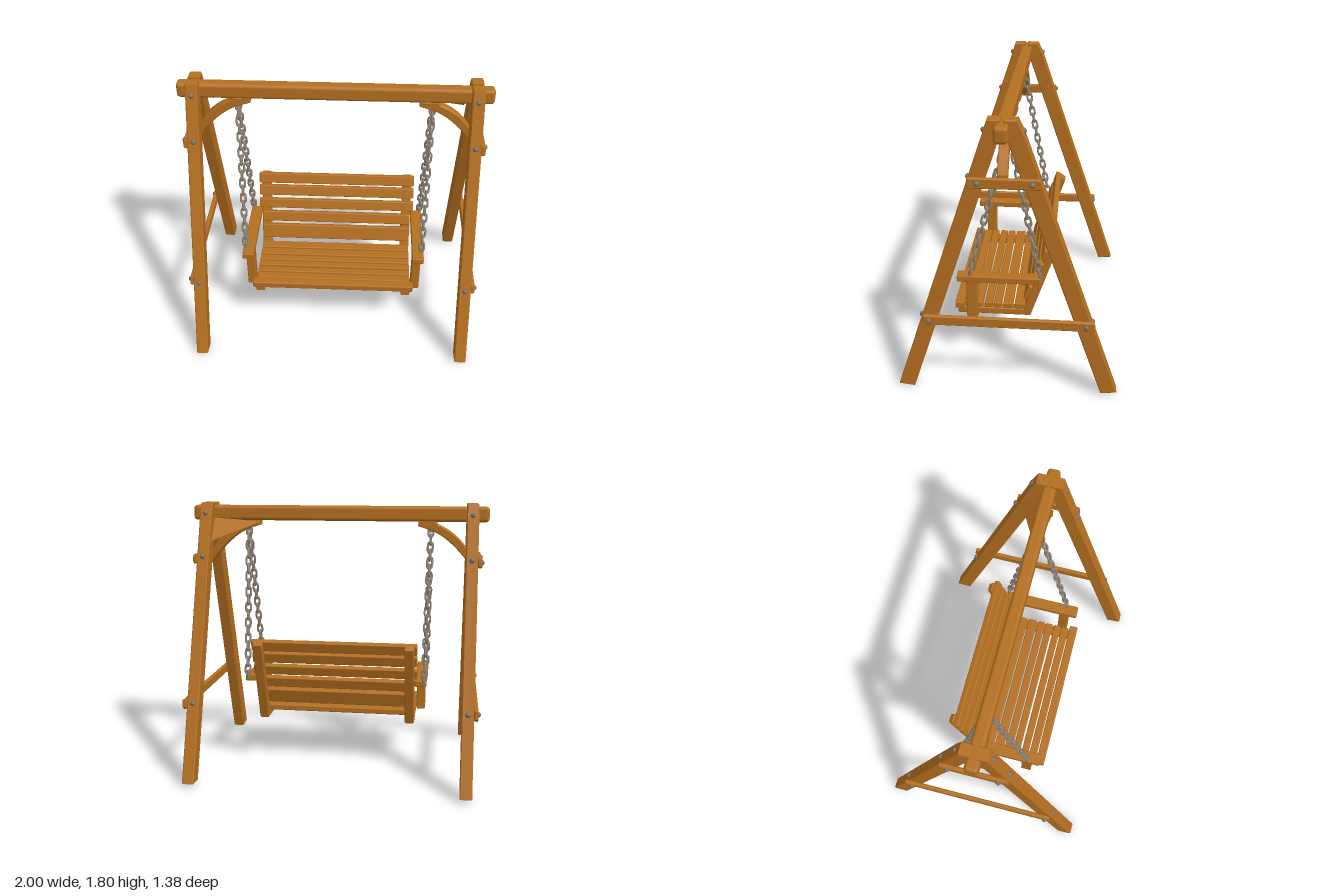
import * as THREE from 'three';
import { RoundedBoxGeometry } from 'three/addons/geometries/RoundedBoxGeometry.js';

export function createModel() {
  const model = new THREE.Group();
  model.name = 'gardenSwing';
  const wood = new THREE.MeshStandardMaterial({ color: 0xb46f20 });
  wood.name = 'wood';
  const steel = new THREE.MeshStandardMaterial({ color: 0x8d8275 });
  steel.name = 'steel';
  const boltGrey = new THREE.MeshStandardMaterial({ color: 0x77706a });
  boltGrey.name = 'boltGrey';
  const panelWood = new THREE.MeshStandardMaterial({ color: 0xb46f20, side: THREE.DoubleSide });
  panelWood.name = 'panelWood';

  const add = (name, geometry, material, x = 0, y = 0, z = 0, parent = model) => {
    const mesh = new THREE.Mesh(geometry, material);
    mesh.name = name;
    mesh.position.set(x, y, z);
    parent.add(mesh);
    return mesh;
  };

  // Board with softened edges
  const board = (name, w, h, d, x, y, z, r = 0.008) =>
    add(name, new RoundedBoxGeometry(w, h, d, 2, r), wood, x, y, z);

  // Extruded outline with a small bevel, centred on its thickness
  const extrude = (pts, thickness) => {
    const shape = pts instanceof THREE.Shape
      ? pts : new THREE.Shape(pts.map(([a, b]) => new THREE.Vector2(a, b)));
    const b = 0.006;
    const g = new THREE.ExtrudeGeometry(shape, {
      depth: thickness - 2 * b, bevelEnabled: true, bevelThickness: b,
      bevelSize: b, bevelOffset: -b, bevelSegments: 1, curveSegments: 10,
    });
    return g.translate(0, 0, b - thickness / 2);
  };
  // Outline given as (z, y), thickness along x
  const side = (name, pts, thickness, x) =>
    add(name, extrude(pts, thickness).rotateY(-Math.PI / 2), wood, x);

  // Domed bolt head pointing along a direction
  const headGeometry = new THREE.SphereGeometry(0.018, 12, 6, 0, Math.PI * 2, 0, Math.PI / 2);
  const bolt = (x, y, z, dir) => {
    const m = add('boltHead', headGeometry, boltGrey, x, y, z);
    m.quaternion.setFromUnitVectors(new THREE.Vector3(0, 1, 0), dir.normalize());
  };

  // Top beam
  board('topBeam', 2, 0.1, 0.085, 0, 1.73, 0.018, 0.022);

  const frontLeg = [[0.59, 0], [0.69, 0.012], [0.126, 1.72], [0.1, 1.8],
    [0.026, 1.8], [0.026, 1.7], [0.04, 1.67]];
  const backLeg = [[-0.69, 0.025], [-0.59, 0.015], [-0.015, 1.67], [0.007, 1.7],
    [0.007, 1.8], [-0.07, 1.8], [-0.107, 1.72]];

  // Horizontal tie with chipped corners
  const tie = (z0, z1, y0, y1) => [[z0, y0], [z1, y0], [z1 + 0.012, y0 + 0.015],
    [z1 + 0.005, y1], [z0 - 0.005, y1], [z0 - 0.012, y0 + 0.015]];

  for (const s of [-1, 1]) {
    // A-frame end
    side('frontLeg', frontLeg, 0.078, s * 0.891);
    side('backLeg', backLeg, 0.078, s * 0.891);
    side('upperTie', tie(-0.2, 0.21, 1.4, 1.463), 0.028, s * 0.942);
    side('lowerTie', tie(-0.53, 0.5, 0.483, 0.547), 0.028, s * 0.942);
    for (const [y, z] of [[1.432, 0.16], [1.432, -0.155], [0.515, 0.475], [0.515, -0.485]])
      bolt(s * 0.954, y, z, new THREE.Vector3(s, 0, 0));
    for (const [y, z] of [[1.73, 0.12], [1.45, 0.212], [0.52, 0.52]])
      bolt(s * 0.891, y, z, new THREE.Vector3(0, 0.32, 1));
    for (const [y, z] of [[1.73, -0.1], [1.45, -0.205], [0.52, -0.52]])
      bolt(s * 0.891, y, z, new THREE.Vector3(0, 0.32, -1));

    // Curved knee brace under the beam
    const brace = new THREE.Shape();
    brace.moveTo(s * 0.89, 1.385);
    brace.lineTo(s * 0.89, 1.46);
    brace.quadraticCurveTo(s * 0.8, 1.61, s * 0.67, 1.66);
    brace.lineTo(s * 0.65, 1.685);
    brace.lineTo(s * 0.535, 1.685);
    brace.lineTo(s * 0.535, 1.65);
    brace.lineTo(s * 0.6, 1.63);
    brace.quadraticCurveTo(s * 0.74, 1.59, s * 0.89, 1.385);
    add('kneeBrace', extrude(brace, 0.062), wood, 0, 0, 0.02);
  }

  // Slanted corner panel behind the left brace
  const panel = new THREE.BufferGeometry();
  panel.setAttribute('position', new THREE.Float32BufferAttribute(
    [0.54, 1.67, -0.015, 0.85, 1.7, -0.02, 0.84, 1.55, -0.16], 3));
  panel.computeVertexNormals();
  add('cornerPanel', panel, panelWood);

  // Chain link: a closed oval of round wire
  const L = 0.019, R = 0.0155;
  const oval = [];
  for (let i = 0; i < 12; i++) {
    const a = (i + 0.5) / 12 * Math.PI * 2;
    oval.push(new THREE.Vector3(Math.cos(a) * R, Math.sin(a) * R + Math.sign(Math.sin(a)) * L, 0));
  }
  const linkGeometry = new THREE.TubeGeometry(new THREE.CatmullRomCurve3(oval, true), 20, 0.0075, 6, true);
  const chain = (from, to) => {
    const group = new THREE.Group();
    group.name = 'chain';
    const dir = to.clone().sub(from);
    const count = Math.round(dir.length() / 0.053);
    group.position.copy(from);
    group.quaternion.setFromUnitVectors(new THREE.Vector3(0, 1, 0), dir.clone().normalize());
    for (let i = 0; i < count; i++) {
      const link = add('chainLink', linkGeometry, steel, 0, (i + 0.5) / count * dir.length(), 0, group);
      link.rotation.y = i % 2 ? Math.PI / 2 : 0;
    }
    model.add(group);
  };

  for (const s of [-1, 1]) {
    for (const z of [0.265, -0.185]) {
      chain(new THREE.Vector3(s * 0.603, 0.65, z), new THREE.Vector3(s * 0.62, 1.64, 0.01));
      add('eyeBolt', new THREE.CylinderGeometry(0.011, 0.011, 0.06, 8), steel, s * 0.6, 0.64, z);
    }
    add('chainHook', new THREE.CylinderGeometry(0.012, 0.012, 0.06, 8), steel, s * 0.62, 1.64, 0.01);

    // Bench side: arm, arm post, seat rail and back post
    board('armRest', 0.078, 0.045, 0.54, s * 0.579, 0.617, 0.08);
    board('armPost', 0.06, 0.285, 0.072, s * 0.572, 0.458, 0.256);
    side('seatRail', [[-0.12, 0.315], [0.36, 0.315], [0.36, 0.35], [0.35, 0.362], [-0.13, 0.362]],
      0.064, s * 0.506);
    side('backPost', [[-0.06, 0.315], [-0.12, 0.315], [-0.308, 0.87], [-0.285, 0.89], [-0.255, 0.885]],
      0.064, s * 0.506);
  }

  // Seat slats, the front one wider and longer
  board('frontSeatSlat', 1.113, 0.046, 0.06, 0, 0.381, 0.347);
  for (const [z, d] of [[0.283, 0.055], [0.222, 0.05], [0.158, 0.05], [0.098, 0.052], [0.028, 0.065], [-0.05, 0.07]])
    board('seatSlat', 1.07, 0.04, d, 0, 0.38, z);

  // Leaning back slats
  for (const [y, h, w] of [[0.862, 0.075, 1.113], [0.776, 0.075, 1.113], [0.683, 0.07, 1.113],
    [0.59, 0.075, 1.07], [0.482, 0.105, 1.07]]) {
    const slat = board('backSlat', w, h, 0.04, 0, y, -0.245 + (0.862 - y) * 0.36);
    slat.rotation.x = -0.33;
  }
  return model;
}
